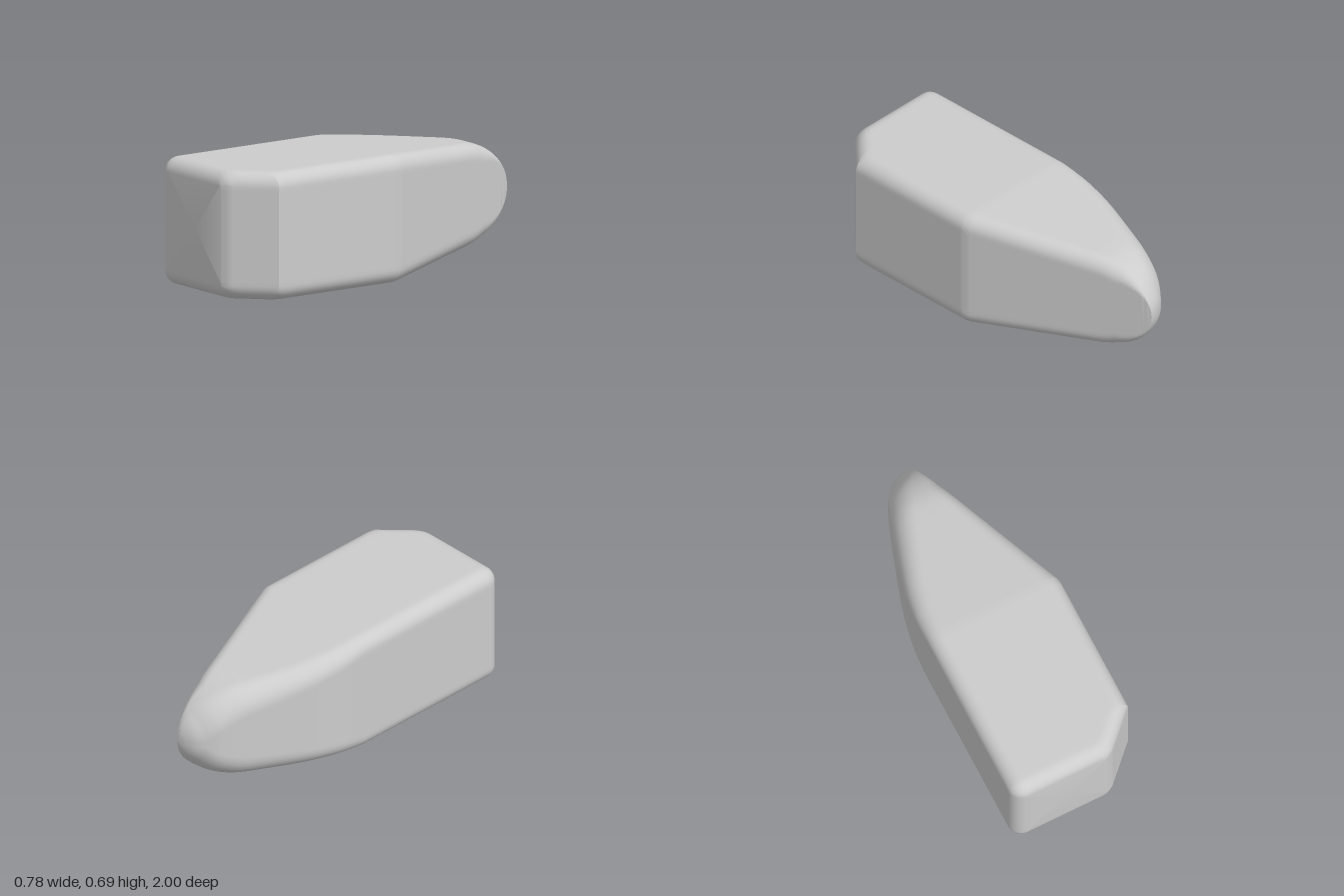
import * as THREE from 'three';
import { toCreasedNormals } from 'three/addons/utils/BufferGeometryUtils.js';

const MID = 0.345, HALF = 0.39, R = 0.08, ARC = 8;
const { clamp, lerp } = THREE.MathUtils;

// Sections from front to back, as [z, left edge x]
function stations() {
  const list = [];
  for (let i = 0; i <= 8; i++) {
    const a = (i / 8) * Math.PI / 2;
    list.push([1 - R + R * Math.cos(a), -HALF + R * (1 - Math.sin(a))]);
  }
  for (const z of [0.9, 0.81, 0.79, 0.77, 0.74, 0.4, 0.03, 0.01, -0.01]) list.push([z, -HALF]);
  // curved flank sweeping round to the nose
  const flank = new THREE.SplineCurve([
    [-0.03, -0.39], [-0.1, -0.389], [-0.2, -0.382], [-0.37, -0.35], [-0.6, -0.28],
    [-0.82, -0.205], [-0.9, -0.165], [-0.96, -0.11], [-0.99, -0.05], [-1, -0.0005],
  ].map(([z, x]) => new THREE.Vector2(z, x)));
  for (const p of flank.getPoints(54)) list.push([Math.max(p.x, -1), p.y]);
  return list;
}

// One rounded section, counter-clockwise seen from the front
function section([z, xl]) {
  const round = z > 1 - R ? R - Math.sqrt(Math.max(0, R * R - (z - 1 + R) ** 2)) : 0;
  const t = clamp((-0.69 - z) / 0.31, 0, 1);
  const h = Math.max(0.0005, (0.345 - round + 0.1 * Math.min(z, 0)) * Math.sqrt(1 - t * t));

  // right edge: chamfer in front, straight side, flat cut to the nose
  let xr = HALF;
  if (z > 0.79) xr = HALF - (z - 0.79) - Math.max(0, z - 0.98) * 1.2;
  else if (z < 0) xr = HALF * (1 + z) + 0.0003;

  const r = R - round;
  let rx = r * lerp(1, 1.4, clamp((z - 0.75) / 0.05, 0, 1)), ry = r;
  if (z < 0) {
    rx = Math.min(R, xr);
    ry = Math.min(rx, h * 0.8);
  }
  const grow = lerp(R, 0.14, clamp(-z / 0.8, 0, 1)) - round;
  const lx = Math.min(grow, -xl), ly = Math.min(grow, h * 0.9);

  const corners = [
    [xr - rx, h - ry, rx, ry], [xl + lx, h - ly, lx, ly],
    [xl + lx, ly - h, lx, ly], [xr - rx, ry - h, rx, ry],
  ].map(([cx, cy, ax, ay], q) => Array.from({ length: ARC + 1 }, (_, i) => {
    const a = (q + i / ARC) * Math.PI / 2;
    return new THREE.Vector3(cx + ax * Math.cos(a), MID + cy + ay * Math.sin(a), z);
  }));
  // support points keep the flat sides flat
  return corners.flatMap((c, q) => {
    const end = c[ARC], next = corners[(q + 1) % 4][0];
    return [...c, end.clone().lerp(next, 0.04), end.clone().lerp(next, 0.96)];
  });
}

function loft(rings) {
  const n = rings[0].length, pos = [], idx = [];
  rings.forEach(r => r.forEach(p => pos.push(p.x, p.y, p.z)));
  for (let i = 0; i < rings.length - 1; i++) {
    for (let j = 0; j < n; j++) {
      const a = i * n + j, b = i * n + (j + 1) % n;
      idx.push(a, a + n, b, b, a + n, b + n);
    }
  }
  // front cap
  const centre = pos.length / 3;
  pos.push(-0.07, MID, 1);
  for (let j = 0; j < n; j++) idx.push(centre, j, (j + 1) % n);
  const g = new THREE.BufferGeometry();
  g.setAttribute('position', new THREE.Float32BufferAttribute(pos, 3));
  g.setIndex(idx);
  return toCreasedNormals(g, 0.5);
}

export function createModel() {
  const group = new THREE.Group();
  group.name = 'taperedBlock';
  const grey = new THREE.MeshStandardMaterial({ color: 0xcccccc });
  grey.name = 'light grey';
  const body = new THREE.Mesh(loft(stations().map(section)), grey);
  body.name = 'body';
  group.add(body);
  return group;
}
